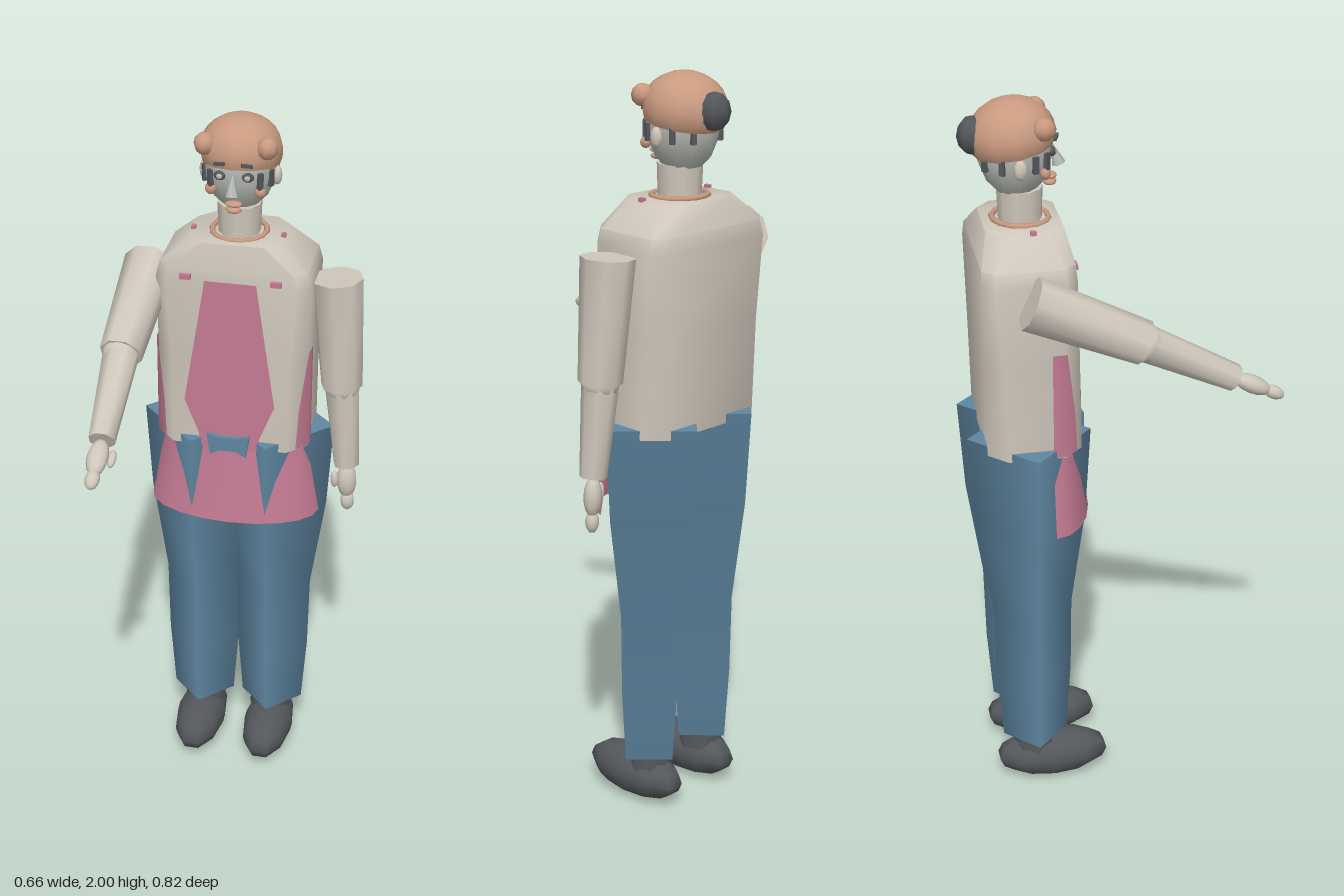
import * as THREE from 'three';
import { toCreasedNormals } from 'three/addons/utils/BufferGeometryUtils.js';

const V = (x, y, z) => new THREE.Vector3(x, y, z);
const CX = -0.016; // body axis

export function createModel() {
  const root = new THREE.Group();
  root.name = 'figure';
  const mat = (name, color, side = THREE.FrontSide) => {
    const m = new THREE.MeshStandardMaterial({ color, side });
    m.name = name;
    return m;
  };
  const cream = mat('cream', 0xcfc7bb);
  const face = mat('paleFace', 0xb9bdb6);
  const tan = mat('tan', 0xc99a80, THREE.DoubleSide);
  const blue = mat('denimBlue', 0x5f87a2, THREE.DoubleSide);
  const pink = mat('pink', 0xc27a92, THREE.DoubleSide);
  const dark = mat('darkGrey', 0x54575b);

  const add = (name, geo, m, pos = V(0, 0, 0)) => {
    const mesh = new THREE.Mesh(geo, m);
    mesh.name = name;
    mesh.position.copy(pos);
    root.add(mesh);
    return mesh;
  };
  const blob = (name, m, pos, sx, sy, sz, seg = 10) => {
    const mesh = add(name, new THREE.SphereGeometry(1, seg, Math.max(6, seg - 2)), m, pos);
    mesh.scale.set(sx, sy, sz);
    return mesh;
  };
  // surface through rows of points, bottom row first
  const loft = (rows, closed) => {
    const n = rows[0].length, idx = [];
    for (let r = 0; r < rows.length - 1; r++) {
      for (let i = 0; i < (closed ? n : n - 1); i++) {
        const a = r * n + i, b = r * n + (i + 1) % n;
        idx.push(a, b, b + n, a, b + n, a + n);
      }
    }
    if (closed) {
      const t = (rows.length - 1) * n;
      for (let i = 1; i < n - 1; i++) idx.push(0, i + 1, i, t, t + i, t + i + 1);
    }
    const g = new THREE.BufferGeometry().setFromPoints(rows.flat());
    g.setIndex(idx);
    g.computeVertexNormals();
    return g;
  };
  // tapered round piece between two points
  const limb = (name, a, b, ra, rb, m) => {
    const d = b.clone().sub(a);
    const g = toCreasedNormals(new THREE.CylinderGeometry(rb, ra, d.length(), 8).rotateY(Math.PI / 8), 0.9);
    const mesh = add(name, g, m, a.clone().add(b).multiplyScalar(0.5));
    mesh.quaternion.setFromUnitVectors(V(0, 1, 0), d.normalize());
    return mesh;
  };

  // shirt: chamfered rectangle sections [y, half width, half depth, chamfer, z]
  const torsoRows = [
    [1.08, 0.208, 0.125, 0.05, -0.232], [1.35, 0.208, 0.125, 0.045, -0.236],
    [1.57, 0.21, 0.123, 0.03, -0.241], [1.61, 0.2, 0.12, 0.03, -0.241],
    [1.68, 0.125, 0.1, 0.04, -0.236],
  ].map(([y, w, d, c, z]) => [
    [w, d - c], [w, c - d], [w - c, -d], [c - w, -d], [-w, c - d], [-w, d - c], [c - w, d], [w - c, d],
  ].map(([x, dz]) => V(CX + x, y, z + dz)));
  add('shirt', toCreasedNormals(loft(torsoRows, true), 0.85), cream);

  // apron bib: thin panel lying on the shirt front [y, half width, z]
  add('bib', loft([
    [1.08, 0.08, -0.1], [1.12, 0.085, -0.1], [1.22, 0.125, -0.102],
    [1.37, 0.102, -0.106], [1.58, 0.07, -0.112],
  ].map(([y, w, z]) => [V(CX - w, y, z), V(CX + w, y, z)])), pink);

  // apron skirt: flared half ring in front of the hips
  add('apronSkirt', loft([[0.855, 0.24, 0.12], [0.97, 0.22, 0.105], [1.1, 0.198, 0.09]]
    .map(([y, w, d]) => Array.from({ length: 11 }, (_, i) => {
      const a = Math.PI * (1 - i / 10);
      return V(CX + w * Math.cos(a), y, -0.19 + d * Math.sin(a));
    }))), pink);

  // waist bow
  const bow = new THREE.Shape([[-0.06, 0.03], [-0.03, 0.022], [0.03, 0.022], [0.06, 0.03], [0.05, -0.035],
    [0.022, -0.02], [-0.022, -0.02], [-0.05, -0.035]].map(([x, y]) => new THREE.Vector2(x, y)));
  add('waistBow', new THREE.ExtrudeGeometry(bow, { depth: 0.012, bevelEnabled: false }), blue, V(CX, 1.1, -0.094));

  // hands, sleeves and elbows
  const arm = (side, shoulder, elbow, wrist, tip, thumb) => {
    limb(side + 'UpperArm', shoulder, elbow, 0.071, 0.058, cream);
    blob(side + 'Elbow', cream, elbow, 0.051, 0.05, 0.051);
    limb(side + 'Forearm', elbow, wrist, 0.049, 0.036, cream);
    const dir = tip.clone().sub(wrist).normalize();
    const at = (t) => wrist.clone().lerp(tip, t);
    const along = (mesh) => mesh.quaternion.setFromUnitVectors(V(0, 1, 0), dir);
    along(blob(side + 'Palm', cream, at(0.36), 0.029, 0.055, 0.024));
    along(blob(side + 'Fingers', cream, at(0.81), 0.02, 0.03, 0.018));
    along(blob(side + 'Thumb', cream, thumb, 0.012, 0.026, 0.012));
  };
  arm('right', V(-0.268, 1.55, -0.25), V(-0.278, 1.42, 0.04), V(-0.27, 1.295, 0.28), V(-0.268, 1.23, 0.41), V(-0.235, 1.265, 0.315));
  arm('left', V(0.25, 1.562, -0.243), V(0.272, 1.24, -0.238), V(0.293, 0.99, -0.233), V(0.3, 0.84, -0.235), V(0.262, 0.94, -0.225));

  for (const s of [-1, 1]) {
    const side = s < 0 ? 'right' : 'left';
    const lx = CX + s * 0.104;

    // trouser leg: four-cornered, smoothly shaded
    const profile = [[0.09, 0.145], [0.105, 0.35], [0.109, 0.57], [0.15, 0.85], [0.166, 1.105]]
      .map(([r, y]) => new THREE.Vector2(r, y));
    add(side + 'TrouserLeg', new THREE.LatheGeometry(profile, 4), blue, V(lx, 0, -0.239));
    const lid = new THREE.CircleGeometry(0.166, 4).rotateX(-Math.PI / 2);
    add(side + 'TrouserTop', lid, blue, V(lx, 1.105, -0.239));

    // shoe and ankle
    blob(side + 'Shoe', dark, V(lx, 0.069, -0.19), 0.073, 0.069, 0.162, 10);
    add(side + 'Ankle', new THREE.CylinderGeometry(0.055, 0.062, 0.1, 8), dark, V(lx - s * 0.004, 0.15, -0.24));

    // apron edge wrapping the shirt corner
    const strip = [[1.085, 0.03], [1.2, 0.024], [1.38, 0.002]].map(([y, t]) =>
      [[0.212 - t, -0.153 + t], [0.213, -0.157], [0.213, -0.19]].map(([x, z]) => V(CX + s * x, y, z)));
    add(side + 'ApronEdge', loft(strip), pink);

    // strap tabs
    add(side + 'StrapButton', new THREE.BoxGeometry(0.03, 0.014, 0.016), pink, V(CX + s * 0.123, 1.587, -0.117));
    add(side + 'StrapTab', new THREE.BoxGeometry(0.012, 0.012, 0.016), pink, V(CX + s * 0.122, 1.682, -0.22));

    // face details on each side
    blob(side + 'Eye', dark, V(CX + s * 0.037, 1.866, -0.157), 0.017, 0.013, 0.012, 8);
    blob(side + 'Iris', face, V(CX + s * 0.037, 1.866, -0.149), 0.009, 0.008, 0.006, 8);
    const brow = add(side + 'Brow', new THREE.BoxGeometry(0.03, 0.008, 0.014), dark, V(CX + s * 0.036, 1.902, -0.148));
    brow.rotation.set(0, s * 0.35, -s * 0.15);
    blob(side + 'Cheek', tan, V(CX + s * 0.066, 1.818, -0.178), 0.016, 0.016, 0.014, 8);
    blob(side + 'Ear', cream, V(CX + s * 0.098, 1.842, -0.245), 0.013, 0.027, 0.018, 8);
    blob(side + 'TempleCurl', tan, V(CX + s * 0.083, 1.94, -0.182), 0.029, 0.03, 0.031, 8);
    for (let i = 0; i < 4; i++) {
      const a = [0.75, 1.15, 2.05, 2.6][i];
      const lock = add(side + 'SideLock', new THREE.BoxGeometry(0.014, 0.045, 0.012), dark,
        V(CX + s * 0.097 * Math.sin(a), 1.85, -0.245 + 0.097 * Math.cos(a)));
      lock.rotation.y = s * a;
    }
  }

  // neck and collar
  add('neck', new THREE.CylinderGeometry(0.06, 0.056, 0.11, 10), cream, V(CX, 1.71, -0.235));
  const collar = add('collar', new THREE.TorusGeometry(0.074, 0.008, 6, 14).rotateX(Math.PI / 2), tan, V(CX, 1.682, -0.235));
  collar.rotation.x = 0.04;

  // head with narrow chin
  const headProfile = [[0, 1.735], [0.03, 1.738], [0.074, 1.785], [0.095, 1.84], [0.099, 1.9], [0.08, 1.95], [0, 1.98]]
    .map(([r, y]) => new THREE.Vector2(r, y));
  add('head', new THREE.LatheGeometry(headProfile, 12), face, V(CX, 0, -0.245));
  const nose = add('nose', new THREE.ConeGeometry(0.018, 0.062, 6), face, V(CX, 1.848, -0.142));
  nose.rotation.x = -0.3;
  blob('noseTip', face, V(CX, 1.825, -0.135), 0.013, 0.011, 0.012, 8);
  blob('upperLip', tan, V(CX, 1.789, -0.155), 0.025, 0.008, 0.017, 8);
  blob('lowerLip', tan, V(CX, 1.772, -0.157), 0.022, 0.009, 0.018, 8);

  // hair cap and bun
  const hair = add('hair', new THREE.SphereGeometry(1, 12, 8, 0, Math.PI * 2, 0, Math.PI * 0.62), tan, V(CX, 1.905, -0.252));
  hair.scale.set(0.111, 0.095, 0.113);
  hair.rotation.x = -0.17;
  blob('bun', dark, V(CX, 1.908, -0.35), 0.046, 0.05, 0.042, 8);

  return root;
}
